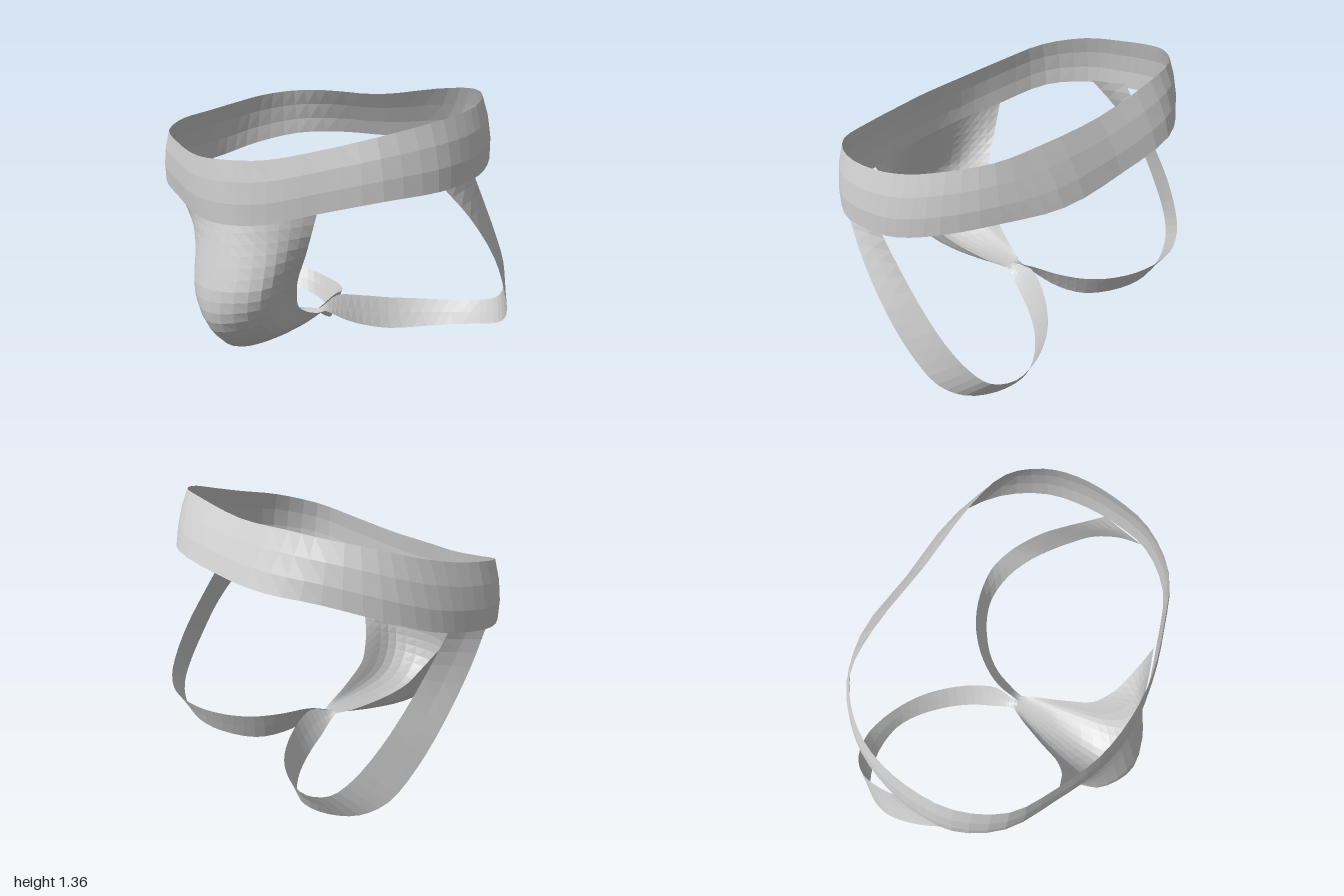
import * as THREE from 'three';

const fabric = new THREE.MeshStandardMaterial({ color: 0xcccccc, flatShading: true, side: THREE.DoubleSide });
fabric.name = 'light grey fabric';

const vec = (p) => new THREE.Vector3(...p);
const mirror = (p) => new THREE.Vector3(-p.x, p.y, p.z);

// Smooth curve through a few points, sampled evenly in parameter so paired edges stay matched
function sample(points, steps, closed = false) {
  const curve = new THREE.CatmullRomCurve3(points, closed, 'centripetal');
  return Array.from({ length: steps + 1 }, (_, i) => curve.getPoint(i / steps));
}

// Surface through rows of points; rows run along the part, stacked across it
function loft(name, rows, flip = false) {
  const n = rows[0].length;
  const index = [];
  for (let r = 0; r < rows.length - 1; r++) {
    for (let i = 0; i < n - 1; i++) {
      const a = r * n + i, b = a + 1, c = a + n, d = c + 1;
      if (flip) index.push(a, c, b, b, c, d);
      else index.push(a, b, c, b, d, c);
    }
  }
  const geometry = new THREE.BufferGeometry().setFromPoints(rows.flat());
  geometry.setIndex(index);
  geometry.computeVertexNormals();
  const mesh = new THREE.Mesh(geometry, fabric);
  mesh.name = name;
  return mesh;
}

// Waistband: half of each edge from front centre to back centre, mirrored into a ring
function waistband() {
  const top = [[0, 1.01, .615], [.25, 1.02, .59], [.5, 1.07, .505], [.725, 1.13, .39], [.86, 1.19, .18],
    [.89, 1.235, -.05], [.86, 1.285, -.25], [.78, 1.33, -.4], [.63, 1.358, -.53], [.4, 1.357, -.575], [0, 1.33, -.58]];
  const bottom = [[0, .7, .64], [.25, .72, .6], [.5, .785, .51], [.765, .85, .385], [.915, .887, .18],
    [.94, .92, -.02], [.92, .96, -.2], [.835, 1.03, -.4], [.65, 1.09, -.59], [.4, 1.1, -.715], [0, 1.085, -.725]];
  const ring = (half) => {
    const side = half.map(vec);
    return sample([...side, ...side.slice(1, -1).reverse().map(mirror)], 60, true);
  };
  const low = ring(bottom), high = ring(top);
  const rows = [0, .33, .67, 1].map((t) => low.map((p, i) => {
    const q = p.clone().lerp(high[i], t);
    const bulge = 1 + .02 * Math.sin(t * Math.PI);
    q.x *= bulge;
    q.z *= bulge;
    return q;
  }));
  return loft('waistband', rows);
}

// Pouch: rounded sections through centre, shoulder and flared edge lines, from crotch to waistband
function pouch() {
  const edge = [[.05, .145, -.05], [.09, .16, .04], [.12, .18, .12], [.155, .21, .21], [.18, .24, .28], [.205, .28, .34],
    [.24, .35, .385], [.29, .44, .43], [.36, .55, .46], [.42, .66, .485], [.48, .79, .505]];
  const shoulder = [[.03, .145, -.05], [.07, .137, .06], [.1, .13, .17], [.135, .13, .33], [.16, .15, .46], [.185, .2, .55],
    [.215, .28, .61], [.24, .38, .63], [.25, .5, .615], [.25, .62, .6], [.25, .745, .592]];
  const centre = [[0, .145, -.05], [0, .12, .1], [0, .09, .25], [0, .065, .45], [0, .08, .58], [0, .14, .67],
    [0, .24, .73], [0, .36, .735], [0, .48, .705], [0, .6, .67], [0, .72, .632]];
  const [sides, shoulders, middles] = [edge, shoulder, centre].map((line) => sample(line.map(vec), 22));
  const rows = sides.map((e, r) => sample([mirror(e), mirror(shoulders[r]), middles[r], shoulders[r], e], 16));
  return loft('pouch', rows);
}

// Leg strap: ribbon from the side of the waistband, round the back and in to the crotch
function legStrap(name, isLeft) {
  const lower = [[.915, .905, .15], [.97, .755, 0], [1, .55, -.18], [.985, .36, -.32], [.94, .21, -.44], [.85, .13, -.53],
    [.7, .08, -.595], [.52, .04, -.605], [.38, .015, -.55], [.22, 0, -.42], [.13, .03, -.29], [.085, .075, -.18],
    [.055, .12, -.1], [.045, .145, -.05]];
  const upper = [[.925, .96, -.09], [.925, .81, -.2], [.92, .64, -.33], [.9, .475, -.46], [.85, .33, -.57], [.78, .24, -.64],
    [.65, .19, -.68], [.47, .165, -.65], [.3, .16, -.57], [.17, .165, -.46], [.07, .185, -.33], [.01, .2, -.2],
    [.005, .165, -.1], [0, .145, -.045]];
  const low = sample(lower.map(vec), 39), high = sample(upper.map(vec), 39);
  let rows = [low, low.map((p, i) => p.clone().lerp(high[i], .5)), high];
  if (!isLeft) rows = rows.map((row) => row.map(mirror));
  return loft(name, rows, !isLeft);
}

export function createModel() {
  const model = new THREE.Group();
  model.name = 'strapped undergarment';
  model.add(waistband(), pouch(), legStrap('leftLegStrap', true), legStrap('rightLegStrap', false));
  return model;
}
